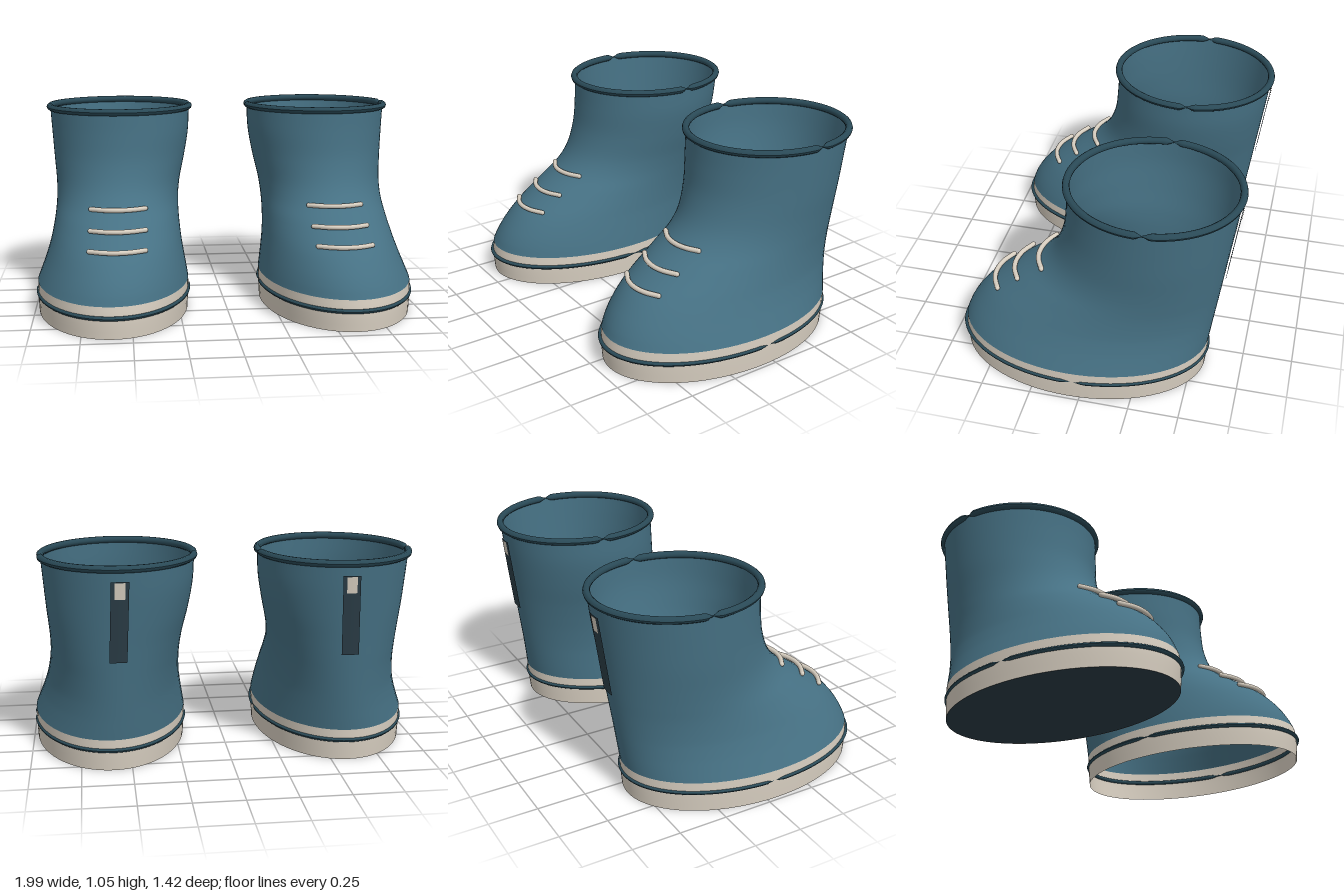
import * as THREE from 'three';

const mat = (name, color, side = THREE.FrontSide) =>
  Object.assign(new THREE.MeshStandardMaterial({ color, side }), { name });

// Elliptical sections of one boot: [y, front z, back z, outer x, inner x]
const UPPER = [
  [0.16, 0.69, -0.574, 0.986, 0.195],
  [0.21, 0.668, -0.581, 0.966, 0.203],
  [0.27, 0.63, -0.589, 0.943, 0.213],
  [0.35, 0.558, -0.6, 0.918, 0.225],
  [0.46, 0.41, -0.615, 0.897, 0.233],
  [0.55, 0.282, -0.627, 0.889, 0.232],
  [0.635, 0.212, -0.638, 0.89, 0.221],
  [0.76, 0.165, -0.655, 0.9, 0.193],
  [0.9, 0.147, -0.674, 0.91, 0.169],
  [1.03, 0.14, -0.69, 0.919, 0.163],
];
const SOLE = [
  [0, 0.692, -0.563, 0.983, 0.2],
  [0.1, 0.697, -0.572, 0.987, 0.195],
  [0.16, 0.69, -0.574, 0.986, 0.195],
];

// Smoothly interpolated rows of sections
function smoothRows(rows, count) {
  const a = new THREE.CatmullRomCurve3(rows.map(r => new THREE.Vector3(r[0], r[1], r[2])));
  const b = new THREE.CatmullRomCurve3(rows.map(r => new THREE.Vector3(r[0], r[3], r[4])));
  return Array.from({ length: count + 1 }, (_, i) => {
    const p = a.getPoint(i / count), q = b.getPoint(i / count);
    return [p.x, p.y, p.z, q.y, q.z];
  });
}

// Open tube of stacked ellipses
function loft(rows, side, n = 72) {
  const pos = [], index = [];
  rows.forEach(([y, front, back, outer, inner], i) => {
    for (let j = 0; j < n; j++) {
      const a = (j / n) * Math.PI * 2;
      pos.push(
        side * (outer + inner) / 2 + Math.cos(a) * (outer - inner) / 2,
        y,
        (front + back) / 2 + Math.sin(a) * (front - back) / 2);
      if (i === rows.length - 1) continue;
      const p = i * n + j, q = i * n + (j + 1) % n;
      index.push(p, p + n, q, q, p + n, q + n);
    }
  });
  const g = new THREE.BufferGeometry();
  g.setAttribute('position', new THREE.Float32BufferAttribute(pos, 3));
  g.setIndex(index);
  g.computeVertexNormals();
  return g;
}

// Elliptical cord, pinched where its two halves meet at the sides
function cord(rx, rz, r) {
  const g = new THREE.TorusGeometry(1, r, 10, 160);
  const { position, uv } = g.attributes;
  for (let i = 0; i < position.count; i++) {
    const u = uv.getX(i) * Math.PI * 2, v = uv.getY(i) * Math.PI * 2;
    const t = r * THREE.MathUtils.clamp(Math.abs(Math.sin(u) - 0.05) / 0.08, 0.2, 1);
    position.setXYZ(i,
      (rx + t * Math.cos(v)) * Math.cos(u),
      t * Math.sin(v),
      -(rz + t * Math.cos(v)) * Math.sin(u));
  }
  g.computeVertexNormals();
  return g;
}

// Thin strip following the heel between two heights
function heelStrip(side, y0, y1, width, gap) {
  const g = new THREE.PlaneGeometry(width, 1, 4, 8);
  const p = g.attributes.position;
  for (let i = 0; i < p.count; i++) {
    const y = y0 + (p.getY(i) + 0.5) * (y1 - y0);
    const x = p.getX(i);
    const centre = THREE.MathUtils.mapLinear(y, 0.55, 1.03, 0.56, 0.541);
    const z = THREE.MathUtils.mapLinear(y, 0.55, 1.03, -0.627, -0.69);
    p.setXYZ(i, side * centre - x, y, z - gap + x * x * 1.4);
  }
  g.computeVertexNormals();
  return g;
}

export function createModel() {
  const teal = mat('teal rubber', 0x467184, THREE.DoubleSide);
  const trim = mat('dark teal trim', 0x2a4a57);
  const cream = mat('cream', 0xd8cfc1, THREE.DoubleSide);
  const dark = mat('dark slate', 0x2b3d47, THREE.DoubleSide);

  function createBoot(side) {
    const boot = new THREE.Group();
    boot.name = side > 0 ? 'leftBoot' : 'rightBoot';
    const add = (name, geometry, material) => {
      const mesh = new THREE.Mesh(geometry, material);
      mesh.name = name;
      boot.add(mesh);
      return mesh;
    };

    add('upper', loft(smoothRows(UPPER, 48), side), teal);
    add('soleBand', loft(smoothRows(SOLE, 6), side), cream);

    // Only the right boot has a closed bottom
    if (side < 0) {
      const bottom = add('soleBottom', new THREE.CircleGeometry(1, 72), dark);
      bottom.rotation.x = Math.PI / 2;
      bottom.scale.set(0.3915, 0.6275, 1);
      bottom.position.set(side * 0.5915, 0.001, 0.0645);
    }

    // Cords around the opening and the sole
    add('topRim', cord(0.378, 0.415, 0.018), trim).position.set(side * 0.542, 1.028, -0.273);
    add('solePiping', cord(0.394, 0.635, 0.011), trim).position.set(side * 0.59, 0.105, 0.065);

    // Three curved laces over the instep
    [[0.55, 0.252, 0.56], [0.465, 0.38, 0.563], [0.385, 0.487, 0.568]].forEach(([y, z, x], i) => {
      const path = new THREE.CatmullRomCurve3([-1, -0.5, 0, 0.5, 1].map(t =>
        new THREE.Vector3(side * x + t * 0.138, y, z + 0.047 * (1 - t * t))));
      add('lace' + (i + 1), new THREE.TubeGeometry(path, 24, 0.0125, 10), cream);
      for (const t of [0, 1]) {
        const end = add('laceEnd', new THREE.SphereGeometry(0.0125, 10, 8), cream);
        end.position.copy(path.getPoint(t));
      }
    });

    // Heel pull strap and its tab
    add('heelStrap', heelStrip(side, 0.57, 0.97, 0.085, 0.011), dark);
    add('strapTab', heelStrip(side, 0.885, 0.965, 0.05, 0.014), cream);
    return boot;
  }

  const model = new THREE.Group();
  model.name = 'boots';
  model.add(createBoot(1), createBoot(-1));
  return model;
}
